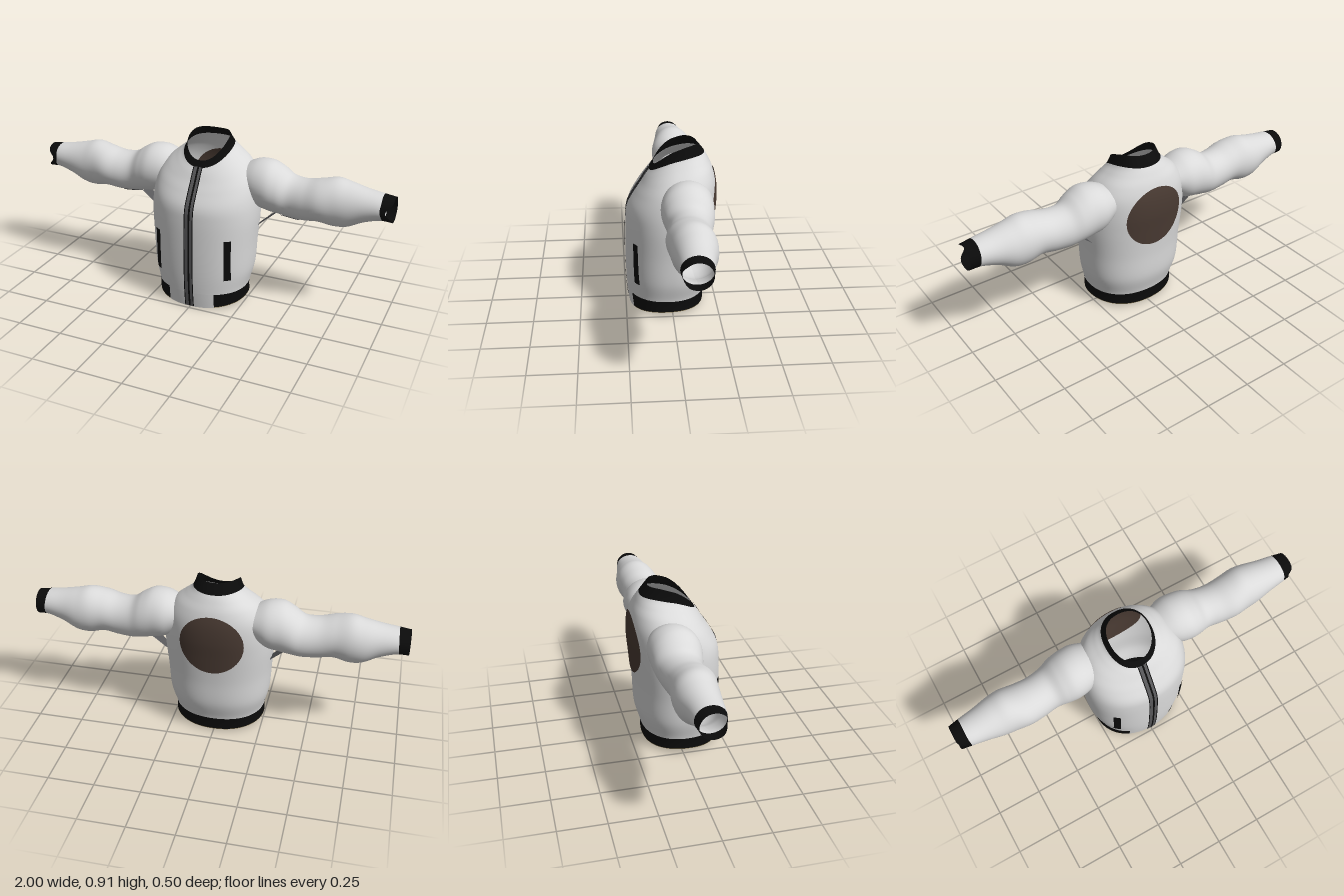
import * as THREE from 'three';

const mat = (name, color) => {
  const m = new THREE.MeshStandardMaterial({ color, side: THREE.DoubleSide });
  m.name = name;
  return m;
};

// Surface from a rule fn(u, v) -> Vector3; cells whose centre passes skip() are left out
function grid(fn, u0, u1, nu, v0, v1, nv, skip) {
  const pos = [], idx = [];
  const at = (i, j) => fn(u0 + (u1 - u0) * i / nu, v0 + (v1 - v0) * j / nv);
  for (let j = 0; j <= nv; j++) for (let i = 0; i <= nu; i++) pos.push(...at(i, j).toArray());
  for (let j = 0; j < nv; j++) for (let i = 0; i < nu; i++) {
    if (skip && skip(at(i + 0.5, j + 0.5))) continue;
    const a = j * (nu + 1) + i, c = a + nu + 1;
    idx.push(a, a + 1, c + 1, a, c + 1, c);
  }
  const g = new THREE.BufferGeometry();
  g.setAttribute('position', new THREE.Float32BufferAttribute(pos, 3));
  g.setIndex(idx);
  g.computeVertexNormals();
  return g;
}

// Smooth interpolation between rows of section values
function sample(rows, t) {
  const n = rows.length - 1, i = Math.min(Math.floor(t), n - 1), f = t - i;
  const r = k => rows[Math.max(0, Math.min(n, k))];
  return rows[0].map((_, k) => {
    const a = r(i - 1)[k], b = r(i)[k], c = r(i + 1)[k], d = r(i + 2)[k];
    return b + 0.5 * f * (c - a + f * (2 * a - 5 * b + 4 * c - d + f * (3 * (b - c) + d - a)));
  });
}

// Torso sections: y at front, side and back, half width, front z, back z
const TORSO = [
  [0.00, 0.025, 0.01, 0.25, 0.23, -0.18],
  [0.09, 0.09, 0.085, 0.25, 0.24, -0.185],
  [0.20, 0.20, 0.20, 0.275, 0.245, -0.215],
  [0.35, 0.35, 0.35, 0.285, 0.245, -0.222],
  [0.50, 0.50, 0.50, 0.295, 0.24, -0.234],
  [0.58, 0.61, 0.61, 0.29, 0.228, -0.243],
  [0.65, 0.70, 0.70, 0.27, 0.19, -0.24],
  [0.70, 0.765, 0.77, 0.225, 0.157, -0.225],
  [0.74, 0.81, 0.82, 0.17, 0.133, -0.203],
  [0.768, 0.845, 0.86, 0.13, 0.113, -0.18],
  [0.80, 0.895, 0.91, 0.11, 0.09, -0.14],
];
const E = 0.9;
const pw = v => Math.sign(v) * Math.abs(v) ** E;

function torso(a, t) {
  const [yF, yS, yB, w, zF, zB] = sample(TORSO, t), c = Math.cos(a);
  return new THREE.Vector3(
    w * pw(Math.sin(a)),
    yS + (yF - yB) / 2 * c + ((yF + yB) / 2 - yS) * c * c,
    (zF + zB) / 2 + (zF - zB) / 2 * pw(c));
}

// Angle on the torso section t where x is reached
function angleAt(x, t, front) {
  const k = Math.min(1, Math.abs(x) / sample(TORSO, t)[3]);
  const a = Math.sign(x) * Math.asin(k ** (1 / E));
  return front ? a : Math.PI - a;
}

// Point on the torso at given x and y, moved by off along z
function onTorso(x, y, front, off) {
  let lo = 0, hi = 10;
  for (let i = 0; i < 26; i++) {
    const m = (lo + hi) / 2;
    if (torso(angleAt(x, m, front), m).y < y) lo = m; else hi = m;
  }
  const p = torso(angleAt(x, lo, front), lo);
  p.z += off;
  return p;
}

// Sleeve sections: x, top y, bottom y, front z, back z
const SLEEVE = [
  [0.20, 0.765, 0.60, 0.03, -0.175],
  [0.27, 0.795, 0.545, 0.06, -0.20],
  [0.34, 0.797, 0.525, 0.07, -0.20],
  [0.40, 0.77, 0.515, 0.06, -0.195],
  [0.46, 0.732, 0.505, 0.045, -0.18],
  [0.54, 0.727, 0.505, 0.055, -0.168],
  [0.62, 0.745, 0.515, 0.065, -0.167],
  [0.70, 0.76, 0.50, 0.055, -0.175],
  [0.77, 0.745, 0.508, 0.047, -0.17],
  [0.85, 0.727, 0.548, 0.035, -0.15],
  [0.93, 0.715, 0.575, 0.025, -0.135],
  [1.00, 0.706, 0.572, 0.015, -0.122],
];
// Angle 0 points down, a quarter turn points to the front
function sleeve(side, a, t, out = 0) {
  const [x, top, bot, zF, zB] = sample(SLEEVE, t);
  const s = Math.sin(a), c = Math.cos(a);
  const end = Math.max(0, t - 9) / 2;
  // Slanted cuff with a notch at the front
  const notch = Math.max(0, t - 10) * 0.035 * Math.max(0, s) ** 8;
  const slant = 0.012 * c * end * (11 - t);
  return new THREE.Vector3(
    side * (x + slant - notch),
    (top + bot) / 2 - ((top - bot) / 2 + out) * c,
    (zF + zB) / 2 + ((zF - zB) / 2 + out) * s);
}

export function createModel() {
  const cloth = mat('light grey cloth', 0xdadada);
  const black = mat('black ribbing', 0x0b0b0b);
  const grey = mat('dark grey tape', 0x58585a);
  const brown = mat('brown patch', 0x4a3b33);
  const tan = mat('tan lining', 0x94835a);
  const jacket = new THREE.Group();
  jacket.name = 'jacket';
  const add = (name, geometry, material) => {
    const m = new THREE.Mesh(geometry, material);
    m.name = name;
    jacket.add(m);
  };
  const TAU = Math.PI * 2;

  // Torso with open armholes, and the collar band
  const armhole = p => Math.abs(p.x) > 0.18 && Math.hypot(p.y - 0.665, p.z + 0.065) < 0.08;
  add('torso', grid(torso, 0, TAU, 96, 1, 9, 64, armhole), cloth);
  add('collar', grid(torso, 0, TAU, 64, 9, 10, 6), black);

  // Waist: plain front panel, ribbed hem around sides and back, lining edge
  const h = angleAt(0.13, 0.5, true);
  add('frontHem', grid(torso, -h, h, 16, 0, 1, 4), cloth);
  add('waistband', grid(torso, h, TAU - h, 64, 0.08, 1, 4), black);
  add('liningEdge', grid(torso, h, TAU - h, 64, 0, 0.08, 1), tan);

  // Zip: two tapes with black teeth and edging
  for (const [x0, x1, m, name] of [
    [-0.028, -0.023, black, 'zipEdge'], [-0.023, -0.005, grey, 'zipTape'],
    [-0.005, 0.005, black, 'zipTeeth'],
    [0.005, 0.019, grey, 'zipTape'], [0.019, 0.024, black, 'zipEdge'],
  ]) for (const off of [0.004, -0.004])
    add(name, grid((x, y) => onTorso(x, y, true, off), x0, x1, 2, 0.005, 0.772, 40), m);

  // Pocket welts and back patch, seen from outside and inside
  for (const off of [0.005, -0.005]) {
    for (const s of [-1, 1]) add('pocket', grid((u, y) => {
      const p = onTorso(s * u, y, true, off);
      p.x += s * off * 0.8;
      return p;
    }, 0.18, 0.212, 4, 0.18, 0.415, 14), black);
    add('backPatch', grid((a, r) =>
      onTorso(r * Math.cos(a), 0.59 + r * Math.sin(a), false, -off), 0, TAU, 48, 0, 0.17, 10), brown);
  }

  for (const s of [-1, 1]) {
    const arm = (a, t) => sleeve(s, a, t);
    add('sleeve', grid(arm, 0, TAU, 40, 0, 10.2, 60), cloth);
    add('cuff', grid(arm, 0, TAU, 40, 10.2, 11, 6), black);
    // Dark panel under the upper arm
    add('underarmPanel', grid((a, t) => sleeve(s, a, t, 0.004), -0.1, 0.65, 8, 3.3, 4.7, 8), grey);
    // Gusset joining torso and sleeve
    add('gusset', grid((z, k) => new THREE.Vector3(
      s * (0.285 + 0.105 * k), 0.435 + 0.095 * k, -0.035 + z * (0.028 + 0.012 * k)),
      -1, 1, 2, 0, 1, 2), grey);
  }
  return jacket;
}
